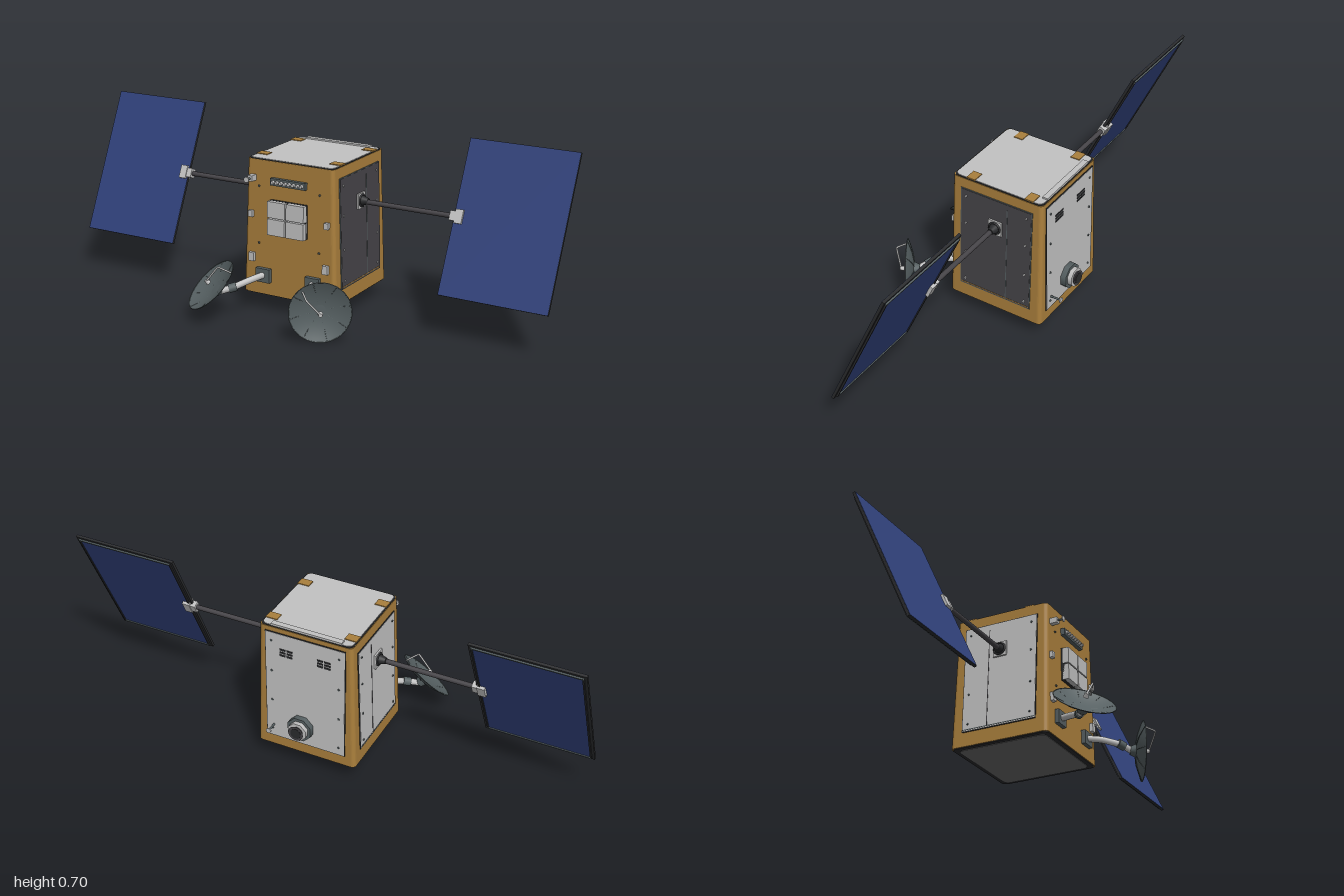
import * as THREE from 'three';

const mat = (name, color) => Object.assign(new THREE.MeshStandardMaterial({ color }), { name });

export function createModel() {
  const gold = mat('gold foil', 0xaa7f3c);
  const light = mat('light grey', 0xc2c2c2);
  const dark = mat('dark panel grey', 0x464448);
  const blue = mat('solar blue', 0x30417a);
  const slate = mat('slate grey', 0x566062);
  const black = mat('near black', 0x2a2b2d);
  const floorGrey = mat('floor grey', 0x6a6a6a);
  const dishGrey = mat('dish grey', 0x566062);
  dishGrey.side = THREE.DoubleSide;

  const model = new THREE.Group();
  model.name = 'satellite';
  const CZ = -0.109; // body centre in z

  const add = (parent, name, geo, material, x = 0, y = 0, z = 0) => {
    const m = new THREE.Mesh(geo, material);
    m.name = name;
    m.position.set(x, y, z);
    parent.add(m);
    return m;
  };
  const box = (parent, name, material, w, h, d, x, y, z) =>
    add(parent, name, new THREE.BoxGeometry(w, h, d), material, x, y, z);
  // cylinder pointing along local z
  const rod = (parent, name, material, r0, r1, len, x, y, z, seg = 16) =>
    add(parent, name, new THREE.CylinderGeometry(r1, r0, len, seg).rotateX(Math.PI / 2), material, x, y, z);
  const tube = (parent, name, material, pts, r) => {
    const curve = new THREE.CatmullRomCurve3(pts.map(p => new THREE.Vector3(...p)), false, 'catmullrom', 0.3);
    return add(parent, name, new THREE.TubeGeometry(curve, 20, r, 10), material);
  };

  // upright slab with rounded corners, base at y = 0
  const slab = (hx, hz, r, height) => {
    const s = new THREE.Shape();
    s.moveTo(-hx + r, -hz);
    s.absarc(hx - r, -hz + r, r, -Math.PI / 2, 0);
    s.absarc(hx - r, hz - r, r, 0, Math.PI / 2);
    s.absarc(-hx + r, hz - r, r, Math.PI / 2, Math.PI);
    s.absarc(-hx + r, -hz + r, r, Math.PI, Math.PI * 1.5);
    return new THREE.ExtrudeGeometry(s, { depth: height, bevelEnabled: false, curveSegments: 3 }).rotateX(-Math.PI / 2);
  };

  // tapered body
  const H = 0.52, topX = 0.184, topZ = 0.189;
  const bodyGeo = slab(0.2, 0.199, 0.016, H);
  const p = bodyGeo.attributes.position;
  for (let i = 0; i < p.count; i++) {
    const t = p.getY(i) / H;
    p.setX(i, p.getX(i) * (1 + t * (topX / 0.2 - 1)));
    p.setZ(i, p.getZ(i) * (1 + t * (topZ / 0.199 - 1)));
  }
  bodyGeo.computeVertexNormals();
  add(model, 'body', bodyGeo, gold, 0, 0.07, CZ);
  add(model, 'bottomRim', slab(0.197, 0.196, 0.02, 0.004), black, 0, 0.067, CZ);
  add(model, 'floorPlate', slab(0.178, 0.177, 0.02, 0.004), floorGrey, 0, 0.065, CZ);

  // top plate with corner pads and a rear bar
  add(model, 'topRim', slab(0.182, 0.187, 0.02, 0.003), black, 0, 0.589, CZ);
  add(model, 'topPlate', slab(0.177, 0.182, 0.02, 0.004), light, 0, 0.59, CZ);
  for (const x of [-0.157, 0.157]) for (const z of [0.005, -0.24])
    box(model, 'cornerPad', gold, 0.046, 0.005, 0.036, x, 0.5945, z);
  box(model, 'topBar', light, 0.28, 0.008, 0.022, 0, 0.596, -0.282);

  // groups lying on the four walls: local z points outward, local y up the wall
  const wall = (name, angle, bottom, top) => {
    const g = new THREE.Group();
    g.name = name;
    const half = (bottom + top) / 2;
    g.position.set(Math.sin(angle) * half, 0.33, CZ + Math.cos(angle) * half);
    g.rotation.set(-Math.atan((bottom - top) / H), angle, 0, 'YXZ');
    model.add(g);
    return g;
  };
  const front = wall('frontWall', 0, 0.199, topZ);
  const back = wall('backWall', Math.PI, 0.199, topZ);
  const screws = (g, material, xs, ys) => {
    for (const x of xs) for (const y of ys) rod(g, 'screw', material, 0.0045, 0.0035, 0.005, x, y, 0.005, 8);
  };
  const plate = (g, w, h, y, material, edge) => {
    box(g, 'panelEdge', edge, w + 0.006, h + 0.006, 0.004, 0, y, 0.001);
    box(g, 'wallPanel', material, w, h, 0.006, 0, y, 0.001);
  };

  for (const s of [1, -1]) {
    // side wall panels and boom shoulder
    const g = wall(s > 0 ? 'leftWall' : 'rightWall', s * Math.PI / 2, 0.2, topX);
    plate(g, 0.298, 0.419, 0.008, s > 0 ? dark : light, s > 0 ? slate : black);
    box(g, 'panelSeam', s > 0 ? slate : dark, 0.003, 0.39, 0.002, s * 0.048, 0, 0.004);
    box(g, 'lowerTrim', s > 0 ? gold : slate, 0.295, 0.003, 0.002, 0, -0.196, 0.004);
    screws(g, s > 0 ? light : slate, [-0.128, 0.128], [0.19, 0.075, -0.055, -0.175]);
    box(g, 'shoulderPlate', light, 0.055, 0.058, 0.008, 0, 0.104, 0.007);
    add(g, 'shoulderRing', new THREE.TorusGeometry(0.022, 0.004, 8, 24), black, 0, 0.104, 0.012);
    rod(g, 'shoulder', black, 0.021, 0.011, 0.03, 0, 0.104, 0.024, 20);

    // boom and tilted solar wing
    const wing = new THREE.Group();
    wing.name = s > 0 ? 'leftWing' : 'rightWing';
    wing.position.set(0, 0.432, -0.107);
    model.add(wing);
    rod(wing, 'boom', dark, 0.0095, 0.0095, 0.39, s * 0.395, 0, 0).rotation.y = Math.PI / 2;
    const tilt = new THREE.Group();
    tilt.name = 'solarPanel';
    tilt.rotation.x = -0.433;
    wing.add(tilt);
    const cx = s * 0.79;
    box(tilt, 'panelFrame', black, 0.42, 0.58, 0.01, cx, 0, 0.002);
    box(tilt, 'frontCells', blue, 0.418, 0.578, 0.003, cx, 0, 0.0065);
    box(tilt, 'backCells', blue, 0.39, 0.55, 0.003, cx, 0, -0.0035);
    for (const e of [1, -1]) {
      box(tilt, 'backRail', slate, 0.4, 0.006, 0.006, cx, e * 0.277, -0.006);
      box(tilt, 'backStile', black, 0.006, 0.56, 0.006, cx + e * 0.197, 0, -0.006);
    }
    box(tilt, 'boomBracket', light, 0.03, 0.052, 0.034, s * 0.601, 0, 0);
    box(tilt, 'boomClamp', light, 0.025, 0.036, 0.028, s * 0.577, 0, 0);
  }

  // front: four-tile antenna, beaded sensor bar, small fittings
  box(front, 'tileBacking', black, 0.156, 0.13, 0.014, 0, 0.05, 0.006);
  for (const x of [-0.0405, 0.0405]) for (const y of [0.0165, 0.0835])
    box(front, 'antennaTile', light, 0.075, 0.062, 0.024, x, y, 0.019);
  box(front, 'sensorBar', slate, 0.15, 0.027, 0.016, 0, 0.186, 0.008);
  for (let i = 0; i < 8; i++) rod(front, 'sensorLens', light, 0.0075, 0.006, 0.012, -0.061 + i * 0.0174, 0.186, 0.02, 10);
  box(front, 'hornBase', light, 0.02, 0.022, 0.03, -0.155, 0.19, 0.015);
  rod(front, 'hornStem', slate, 0.004, 0.004, 0.022, -0.155, 0.19, 0.04, 10);
  rod(front, 'hornDisc', light, 0.011, 0.011, 0.004, -0.155, 0.19, 0.052, 14);
  box(front, 'sensorBox', light, 0.018, 0.024, 0.014, -0.163, 0.05, 0.007);
  box(front, 'sensorBox', light, 0.018, 0.024, 0.014, 0.163, 0.05, 0.007);
  box(front, 'sensorBox', light, 0.022, 0.033, 0.014, 0.16, -0.118, 0.007);
  box(front, 'sensorBox', light, 0.022, 0.033, 0.014, -0.16, -0.118, 0.007);
  screws(front, slate, [-0.13, 0.13], [0.16, -0.06]);

  // back: panel, vents, thruster, small post
  plate(back, 0.315, 0.455, 0.012, light, black);
  for (const x of [-0.075, 0.075]) {
    for (let i = 0; i < 3; i++) for (const c of [-0.014, 0.014])
      box(back, 'ventSlot', black, 0.024, 0.007, 0.004, x + c, 0.152 + i * 0.012, 0.004);
  }
  screws(back, slate, [-0.135, 0.135], [0.205, 0.075, -0.055, -0.185]);
  const octagon = (name, m, r, d, z) => { rod(back, name, m, r, r, d, -0.015, -0.14, z, 8).rotation.z = Math.PI / 8; };
  octagon('thrusterBase', slate, 0.05, 0.026, 0.013);
  octagon('thrusterHousing', light, 0.038, 0.018, 0.034);
  rod(back, 'thrusterNozzle', dark, 0.022, 0.03, 0.012, -0.015, -0.14, 0.046, 20);
  rod(back, 'nozzleMouth', black, 0.021, 0.021, 0.002, -0.015, -0.14, 0.0525, 20);
  rod(back, 'postStem', slate, 0.004, 0.004, 0.045, -0.13, -0.168, 0.023, 10);
  rod(back, 'postCap', light, 0.01, 0.01, 0.005, -0.13, -0.168, 0.047, 14);

  // dishes on bent arms
  const profile = [];
  for (let i = 0; i <= 8; i++) profile.push(new THREE.Vector2(0.115 * i / 8, 0.026 * (i / 8) ** 2));
  const dish = (name, s, centre, normal, azimuth, path) => {
    const n = new THREE.Vector3(...normal).normalize();
    const g = new THREE.Group();
    g.name = name;
    g.position.set(...centre).addScaledVector(n, -0.022);
    g.quaternion.setFromUnitVectors(new THREE.Vector3(0, 1, 0), n);
    model.add(g);
    add(g, 'reflector', new THREE.LatheGeometry(profile, 40), dishGrey);
    add(g, 'reflectorRim', new THREE.TorusGeometry(0.114, 0.0016, 6, 40).rotateX(Math.PI / 2), slate, 0, 0.026, 0);
    add(g, 'hub', new THREE.CylinderGeometry(0.026, 0.016, 0.022, 16), slate, 0, -0.01, 0);
    for (let i = 0; i < 8; i++) {
      const a = i * Math.PI / 4, c = Math.cos(a), d = Math.sin(a);
      tube(g, 'rib', slate, [[0.02 * c, -0.001, 0.02 * d], [0.065 * c, 0.007, 0.065 * d], [0.112 * c, 0.024, 0.112 * d]], 0.0012);
    }
    const [ax, az] = azimuth;
    tube(g, 'feedArm', light, [[0.098 * ax, 0.02, 0.098 * az], [0.08 * ax, 0.066, 0.08 * az], [0.07 * ax, 0.068, 0.07 * az], [0, 0.05, 0]], 0.0035);
    add(g, 'feedHorn', new THREE.CylinderGeometry(0.007, 0.01, 0.016, 14), light, 0, 0.046, 0);
    box(model, 'armMount', slate, 0.06, 0.054, 0.02, s * 0.107, 0.147, 0.095);
    const end = g.position.clone().addScaledVector(n, -0.015);
    tube(model, 'dishArm', light, [[s * 0.107, 0.148, 0.1], ...path, end.toArray()], 0.0125);
    const collar = rod(model, 'armCollar', slate, 0.017, 0.017, 0.03, ...path[1]);
    collar.lookAt(end);
  };
  dish('leftDish', 1, [0.235, 0.115, 0.26], [0.53, 0, 0.85], [-0.95, -0.32],
    [[0.13, 0.142, 0.15], [0.175, 0.128, 0.205]]);
  dish('rightDish', -1, [-0.235, 0.13, 0.255], [-0.47, 0.7, 0.5], [0.95, -0.32],
    [[-0.13, 0.14, 0.15], [-0.175, 0.118, 0.205]]);

  return model;
}
